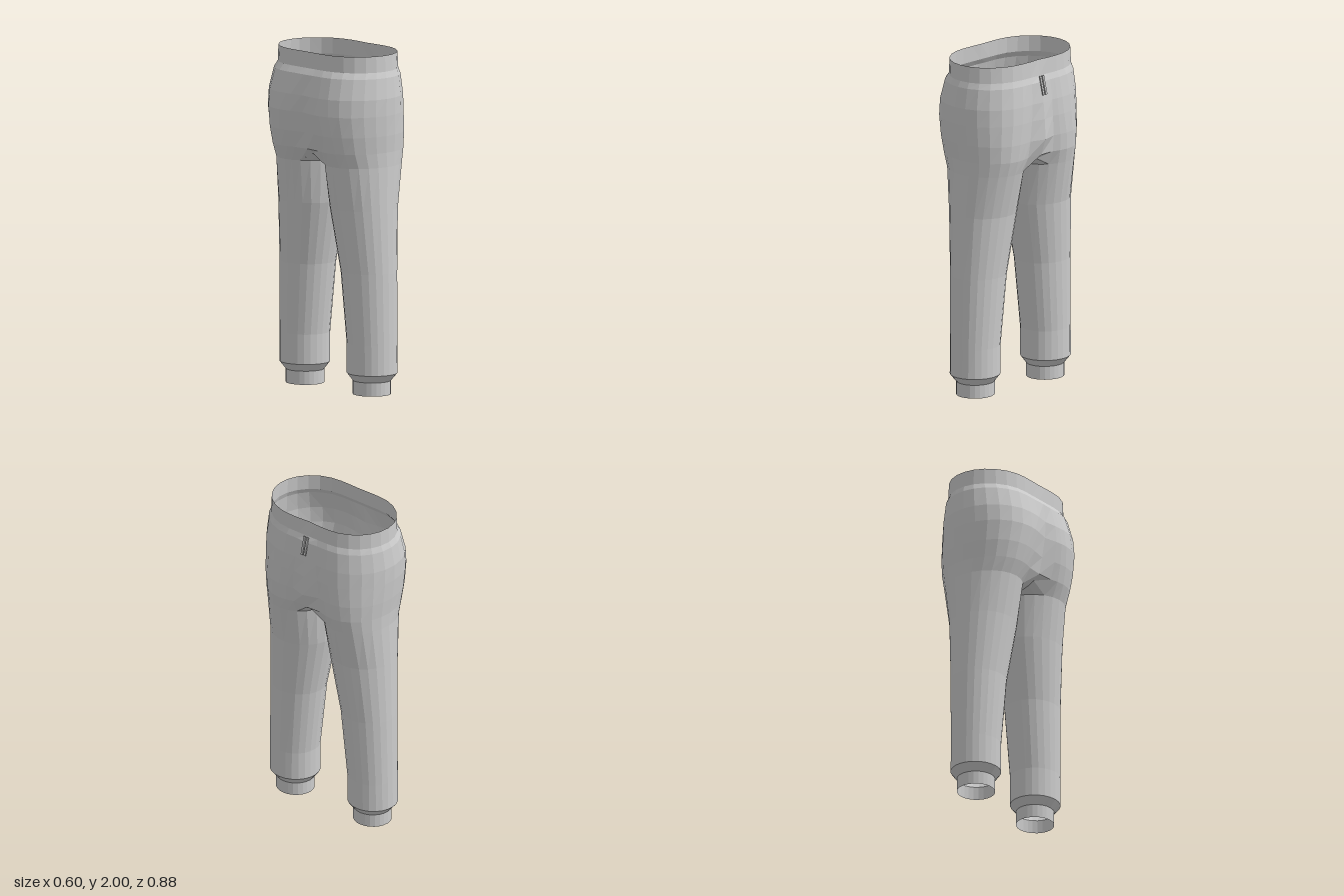
import * as THREE from 'three';

const fabric = new THREE.MeshStandardMaterial({ color: 0xcccccc, flatShading: true, side: THREE.DoubleSide });
fabric.name = 'grey fabric';

const STEP = Math.PI / 12; // 24 sides per leg

// Skin a list of equally long cross-sections (bottom to top)
function loft(name, rows, closed = true) {
  const n = rows[0].length, index = [];
  for (let r = 0; r < rows.length - 1; r++) {
    for (let i = 0; i < (closed ? n : n - 1); i++) {
      const a = r * n + i, b = r * n + (i + 1) % n;
      index.push(a, a + n, b, b, a + n, b + n);
    }
  }
  const geo = new THREE.BufferGeometry();
  geo.setAttribute('position', new THREE.Float32BufferAttribute(rows.flat(2), 3));
  geo.setIndex(index);
  geo.computeVertexNormals();
  const mesh = new THREE.Mesh(geo, fabric);
  mesh.name = name;
  return mesh;
}

// Oval leg section from its extents; side is +1 (left) or -1 (right)
function legRing([y, back, front, inner, outer], side) {
  const xc = (front + back) / 2, rx = (front - back) / 2;
  const zc = (outer + inner) / 2, rz = (outer - inner) / 2;
  return Array.from({ length: 24 }, (_, i) =>
    [xc + rx * Math.cos(i * STEP), y, side * zc + rz * Math.sin(i * STEP)]);
}

// y, back x, front x, inner z, outer z
const LEG_TOP = [1.345, -0.225, 0.255, 0.001, 0.413];
const LEG = [
  [0.125, -0.135, 0.155, 0.138, 0.438],
  [0.30, -0.135, 0.155, 0.138, 0.436],
  [0.72, -0.15, 0.17, 0.092, 0.43],
  [1.09, -0.188, 0.203, 0.02, 0.42],
  LEG_TOP,
];
const CUFF = [
  [0, -0.10, 0.12, 0.172, 0.40],
  [0.08, -0.10, 0.12, 0.172, 0.40],
  [0.125, -0.135, 0.155, 0.138, 0.438],
];

// y, back x, front x, centre back x, centre front x, outer z, lobe centre z, flatness, centre y
const TORSO = [
  [1.345, -0.225, 0.255, -0.193, 0.223, 0.413, 0.207, 0, 1.40],
  [1.43, -0.26, 0.275, -0.235, 0.262, 0.415, 0.20, 0.5],
  [1.53, -0.285, 0.282, -0.255, 0.30, 0.425, 0.19, 0.7],
  [1.65, -0.303, 0.282, -0.275, 0.292, 0.433, 0.17, 0.8],
  [1.75, -0.295, 0.277, -0.28, 0.283, 0.435, 0.16, 0.9],
  [1.87, -0.26, 0.262, -0.262, 0.268, 0.42, 0.15, 1],
  [1.905, -0.236, 0.25, -0.236, 0.25, 0.407, 0.14, 1],
];
const WAISTBAND = [
  TORSO[TORSO.length - 1],
  [2, -0.232, 0.245, -0.23, 0.24, 0.403, 0.14, 1],
];

// Two rounded lobes joined across the centre front and back
function torsoRing([y, back, front, midBack, midFront, outer, zc, flat, midY = y]) {
  const xc = (front + back) / 2, rx = (front - back) / 2;
  const half = [];
  for (let i = -2; i <= 14; i++) {
    const s = Math.sin(i * STEP), c = Math.cos(i * STEP);
    const cx = s < -0.01 ? Math.sign(c) * (1 - (1 - Math.abs(c)) * (1 - flat)) : c;
    const rz = s < 0 ? zc - 0.001 : outer - zc;
    half.push([xc + rx * cx, y, zc + rz * s]);
  }
  const mirrored = half.map(([x, h, z]) => [x, h, -z]).reverse();
  return [[midFront, midY, 0], ...half, [midBack, midY, 0], ...mirrored];
}

export function createModel() {
  const model = new THREE.Group();
  model.name = 'trousers';

  // Legs and ankle cuffs
  for (const [label, side] of [['left', 1], ['right', -1]]) {
    model.add(loft(label + 'Leg', LEG.map(p => legRing(p, side))));
    model.add(loft(label + 'Cuff', CUFF.map(p => legRing(p, side))));
  }

  // Seat, hips and waistband
  model.add(loft('hips', TORSO.map(torsoRing)));
  model.add(loft('waistband', WAISTBAND.map(torsoRing)));

  // Crotch gusset bridging the inner leg edges
  const edge = legRing(LEG_TOP, 1).slice(14, 23);
  const gusset = edge.map(([x, y, z]) =>
    [[x, y, z], [x, y + 0.055 * z / edge[0][2], 0], [x, y, -z]]);
  model.add(loft('gusset', gusset, false));

  // Drawstring ends hanging at the centre front
  for (const side of [1, -1]) {
    const cord = new THREE.Mesh(new THREE.BoxGeometry(0.008, 0.112, 0.013), fabric);
    cord.name = side > 0 ? 'leftDrawstring' : 'rightDrawstring';
    cord.position.set(0.28, 1.852, side * 0.0105);
    cord.rotation.z = 0.25;
    model.add(cord);
  }
  return model;
}
